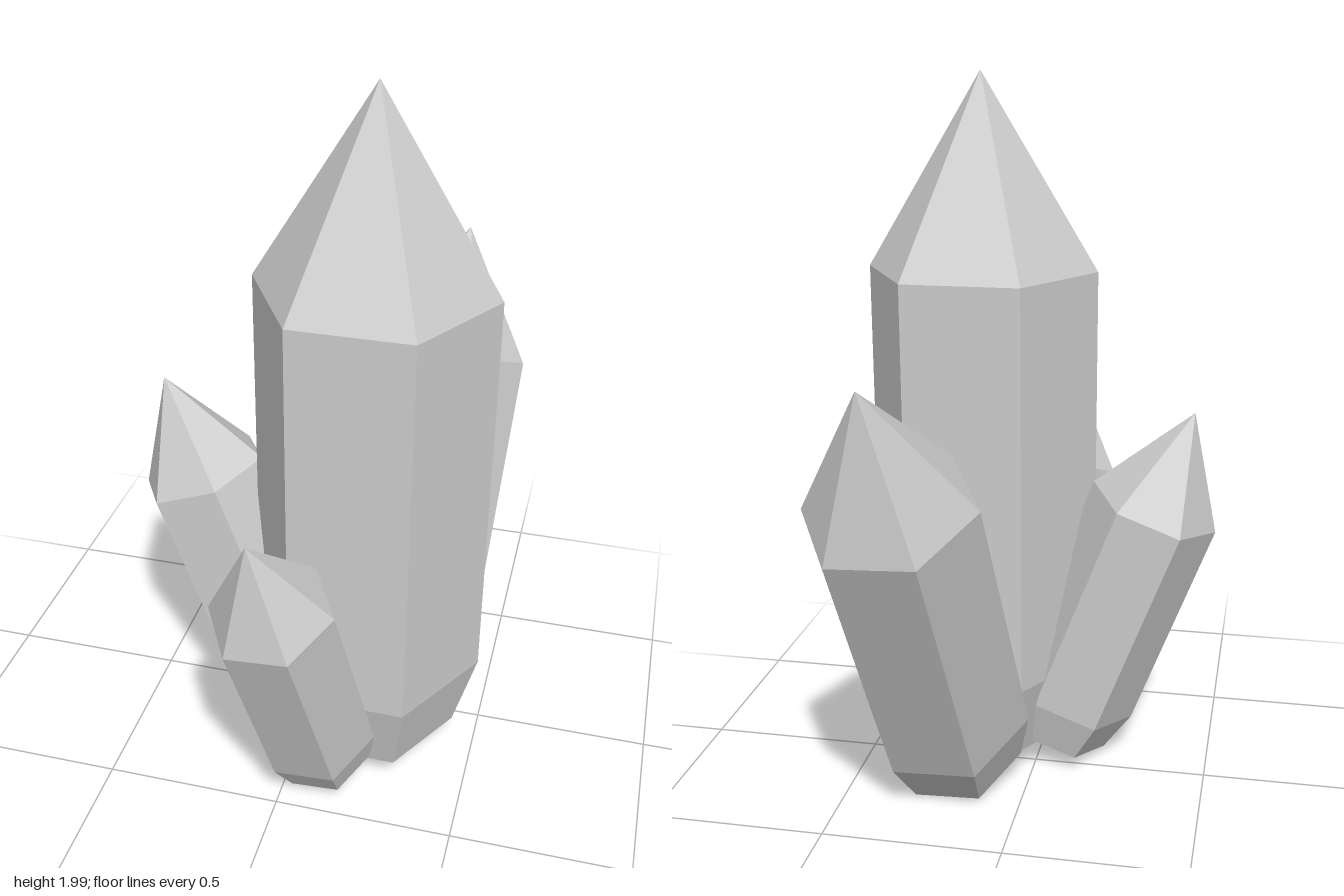
import * as THREE from 'three';

const crystalGrey = new THREE.MeshStandardMaterial({ color: 0xcccccc });
crystalGrey.name = 'crystal grey';

// Six-sided crystal: tapered foot, straight shaft, pointed tip, leaning from base to apex
function crystal(name, radius, base, apex) {
  const foot = new THREE.Vector3(...base);
  const axis = new THREE.Vector3(...apex).sub(foot);
  const h = axis.length();
  axis.normalize();

  const profile = [[0, 0], [0.8, 0], [1, 0.12], [1, 0.72], [0, 1]]
    .map(([r, y]) => new THREE.Vector2(r * radius, y * h));
  // Separate faces keep every facet flat; a corner points along +x
  const geometry = new THREE.LatheGeometry(profile, 6, Math.PI / 2).toNonIndexed();
  geometry.computeVertexNormals();

  const mesh = new THREE.Mesh(geometry, crystalGrey);
  mesh.name = name;
  mesh.position.copy(foot);
  mesh.rotation.set(Math.atan2(axis.z, axis.y), 0, -Math.asin(axis.x));
  return mesh;
}

export function createModel() {
  const group = new THREE.Group();
  group.name = 'crystalCluster';
  group.add(
    crystal('mainCrystal', 0.327, [0.173, 0.08, 0.113], [0.173, 2, 0.113]),
    crystal('backCrystal', 0.2325, [0.208, 0.08, -0.115], [0.29, 1.312, -0.704]),
    crystal('sideCrystal', 0.186, [-0.054, 0.08, 0.078], [-0.437, 1.09, 0.057]),
    crystal('frontCrystal', 0.17, [0.1, 0.08, 0.338], [-0.01, 1.015, 0.676]),
  );
  return group;
}
